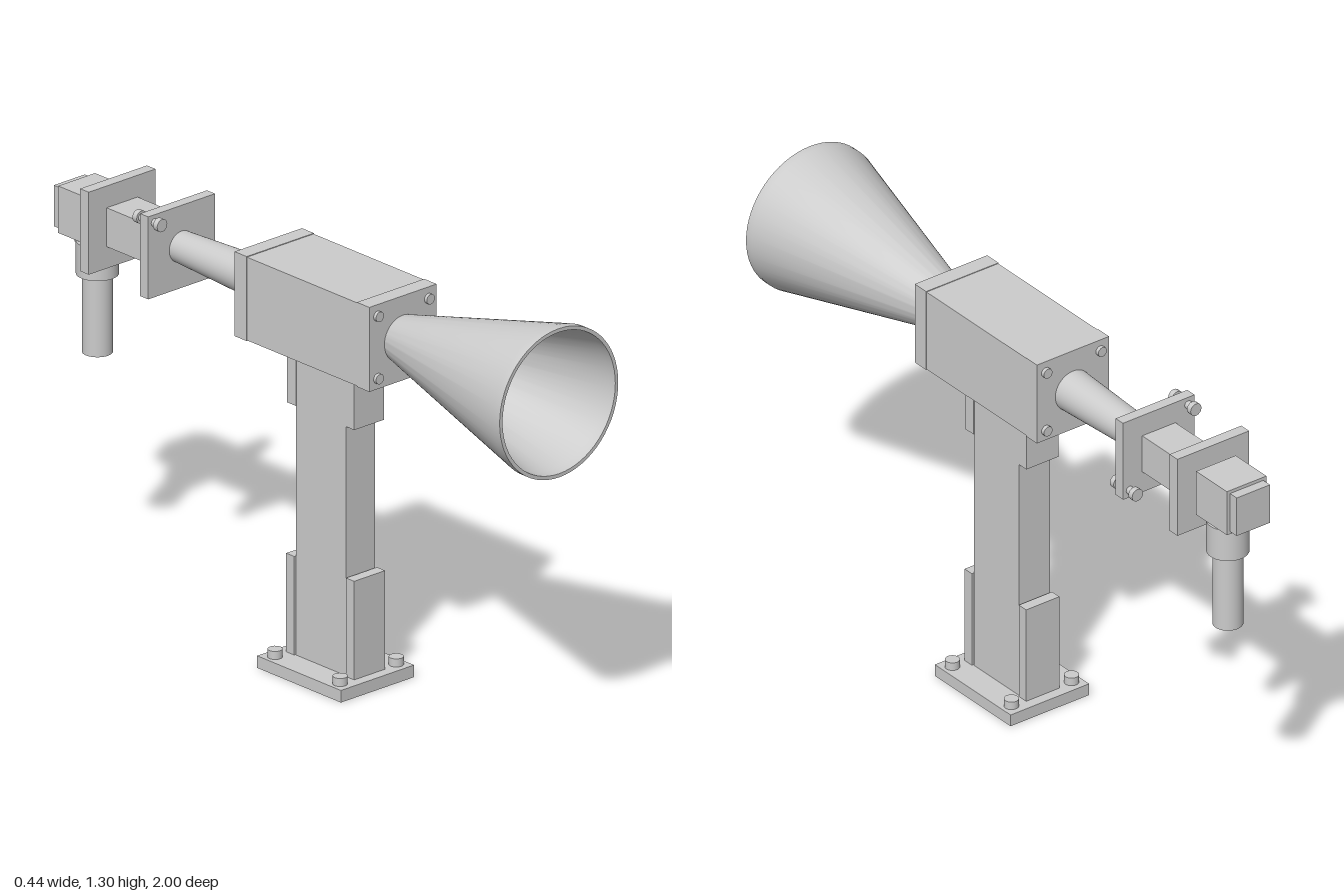
import * as THREE from 'three';
import { toCreasedNormals } from 'three/addons/utils/BufferGeometryUtils.js';

const material = new THREE.MeshStandardMaterial({ color: 0xcccccc });
const AXIS_Y = 1.08;   // height of the horn axis
const POST_Z = 0.088;  // centre of the post and base

export function createModel() {
  const model = new THREE.Group();

  const add = (name, geometry, x = 0, y = 0, z = 0) => {
    const mesh = new THREE.Mesh(geometry, material);
    mesh.name = name;
    mesh.position.set(x, y, z);
    model.add(mesh);
    return mesh;
  };
  // Box given by width, y range and z range, centred on x = 0
  const box = (name, w, y0, y1, z0, z1) =>
    add(name, new THREE.BoxGeometry(w, y1 - y0, z1 - z0), 0, (y0 + y1) / 2, (z0 + z1) / 2);
  // Upright cylinder from y0 to y1
  const post = (name, r, y0, y1, x, z, sides = 32) =>
    add(name, new THREE.CylinderGeometry(r, r, y1 - y0, sides), x, (y0 + y1) / 2, z);
  // Cylinder or cone lying along z, r0 at z0 and r1 at z1
  const rod = (name, r0, r1, z0, z1, x, y, sides = 32) => {
    const g = new THREE.CylinderGeometry(r1, r0, z1 - z0, sides).rotateX(Math.PI / 2);
    return add(name, g, x, y, (z0 + z1) / 2);
  };
  // Horizontal rectangular frame with a rectangular opening
  const frame = (name, w, d, holeW, holeD, y0, y1) => {
    const rect = (path, a, b) => path.moveTo(-a / 2, -b / 2).lineTo(a / 2, -b / 2)
      .lineTo(a / 2, b / 2).lineTo(-a / 2, b / 2).closePath();
    const shape = rect(new THREE.Shape(), w, d);
    shape.holes.push(rect(new THREE.Path(), holeW, holeD));
    const g = new THREE.ExtrudeGeometry(shape, { depth: y1 - y0, bevelEnabled: false });
    return add(name, g.rotateX(-Math.PI / 2), 0, y0, POST_Z);
  };

  // Base: recessed underside, bolts at the corners
  frame('basePlate', 0.274, 0.342, 0.1, 0.19, 0.018, 0.036);
  frame('baseRim', 0.274, 0.342, 0.23, 0.298, 0, 0.018);
  for (const x of [-0.105, 0.105])
    for (const z of [-0.133, 0.133]) post('baseBolt', 0.021, 0.03, 0.06, x, POST_Z + z, 20);

  // Hollow column with plates at foot and head
  frame('column', 0.108, 0.204, 0.09, 0.186, 0, 0.952);
  for (const s of [-1, 1]) {
    const span = (near, far) => [POST_Z + s * near, POST_Z + s * far].sort((a, b) => a - b);
    box('footPlate', 0.116, 0.034, 0.33, ...span(0.106, 0.139));
    box('headBracket', 0.112, 0.78, 0.957, ...span(0.1, 0.137));
  }

  // Housing with end plates and corner bolts
  box('housing', 0.25, 0.957, 1.205, -0.138, 0.312);
  box('frontEndPlate', 0.252, 0.955, 1.207, 0.312, 0.363);
  box('backEndPlate', 0.252, 0.955, 1.207, -0.187, -0.138);
  for (const x of [-0.095, 0.095])
    for (const y of [-0.093, 0.093]) {
      rod('frontEndBolt', 0.015, 0.015, 0.355, 0.373, x, AXIS_Y + y, 16);
      rod('backEndBolt', 0.015, 0.015, -0.198, -0.18, x, AXIS_Y + y, 16);
    }

  // Horn: outer cone, lip, inner cone and closed throat
  const profile = [[0.066, 0.35], [0.222, 0.975], [0.222, 1], [0.211, 1],
    [0.208, 0.97], [0.088, 0.48], [0.063, 0.37], [0, 0.37]]
    .map(([r, z]) => new THREE.Vector2(r, z));
  add('horn', toCreasedNormals(new THREE.LatheGeometry(profile, 64).rotateX(Math.PI / 2), 0.3), 0, AXIS_Y);

  // Tapered pipe to the first flange, joined by two diagonal bolts
  rod('taperedPipe', 0.046, 0.062, -0.545, -0.18, 0, AXIS_Y, 48);
  box('frontFlange', 0.25, 0.957, 1.203, -0.574, -0.541);
  for (const s of [-1, 1]) {
    const x = s * 0.102, y = AXIS_Y - s * 0.1;
    rod('flangeBoltShaft', 0.012, 0.012, -0.6, -0.52, x, y, 16);
    rod('flangeBoltHead', 0.019, 0.019, -0.526, -0.509, x, y, 16);
    rod('flangeNut', 0.019, 0.019, -0.61, -0.593, x, y, 16);
  }

  // Square guide, rear flange and receiver block
  box('squareGuide', 0.116, 1.022, 1.138, -0.79, -0.57);
  box('backFlange', 0.25, 0.957, 1.203, -0.819, -0.784);
  box('receiverNeck', 0.116, 1.022, 1.138, -0.84, -0.81);
  box('receiverBlock', 0.138, 1.01, 1.15, -0.97, -0.831);
  box('receiverCap', 0.116, 1.018, 1.14, -1, -0.965);

  // Downward connector
  const cz = -0.885;
  box('connectorNeck', 0.09, 0.99, 1.015, cz - 0.045, cz + 0.045);
  post('connectorCollar', 0.06, 0.897, 0.995, 0, cz, 40);
  post('connectorPlug', 0.043, 0.663, 0.9, 0, cz, 40);

  return model;
}
